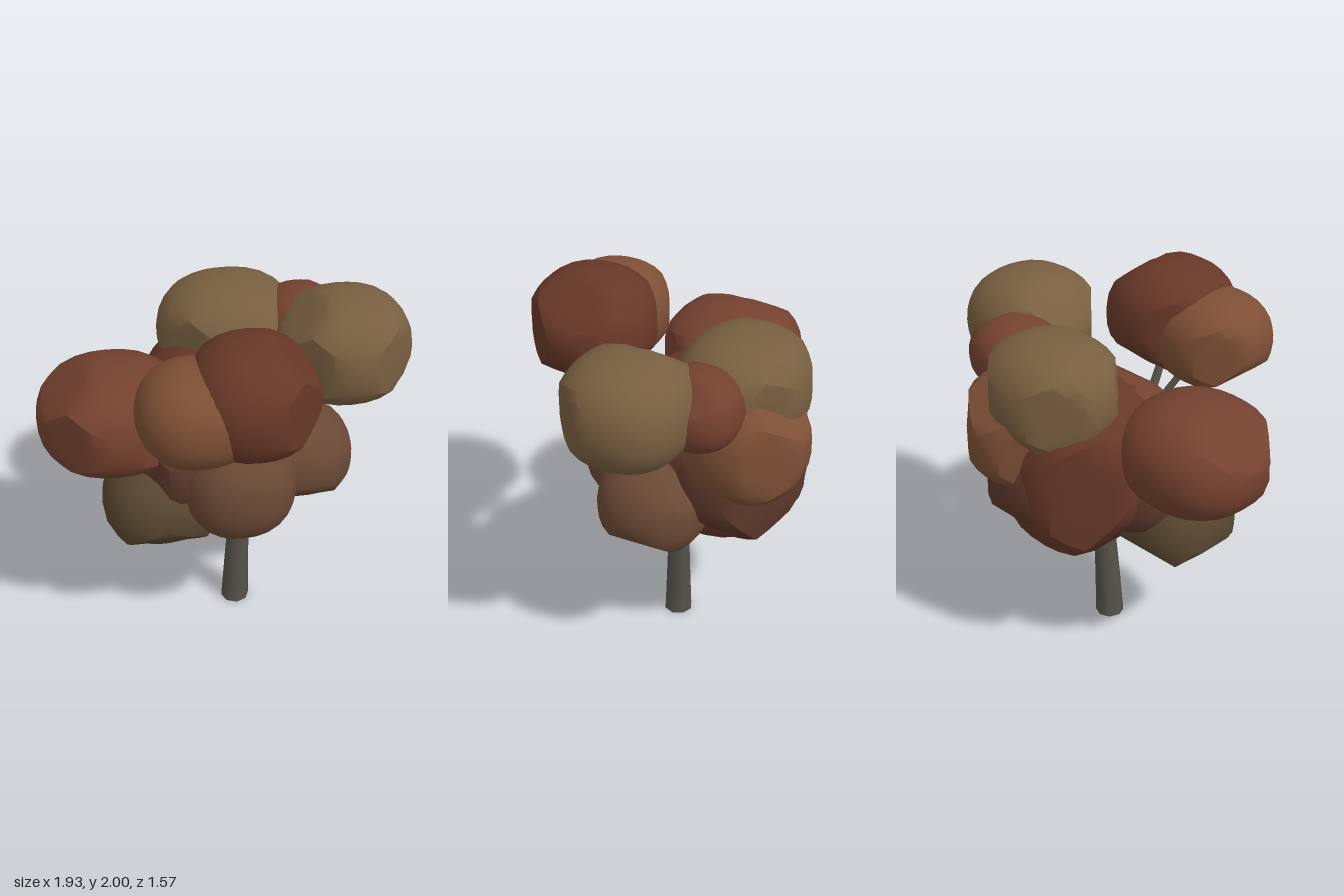
import * as THREE from 'three';
import { mergeVertices, toCreasedNormals } from 'three/addons/utils/BufferGeometryUtils.js';

const RED = 0x74412f, DEEP = 0x673828, RUST = 0x7d4f35, BROWN = 0x6a4935, DARK = 0x5c382b, OLIVE = 0x785f40, MOSS = 0x584731, BARK = 0x55524a;

// Edge directions along which a clump can be planed off
const SIDE = {
  left: new THREE.Vector3(1, 0, 0), right: new THREE.Vector3(-1, 0, 0),
  top: new THREE.Vector3(0, 1, 0), bottom: new THREE.Vector3(0, -1, 0),
  front: new THREE.Vector3(0, 0, 1), back: new THREE.Vector3(0, 0, -1),
};
const edge = (a, b) => SIDE[a].clone().add(SIDE[b]).normalize();

// Leaf clump: a slightly boxy ball with some edges planed off, fitted to centre c and half sizes r
function clump(name, color, c, r, edges, depth = 0.89) {
  const cuts = edges.map(e => edge(...e.split(' ')));
  let geo = new THREE.IcosahedronGeometry(1, 5);
  geo.deleteAttribute('normal');
  geo.deleteAttribute('uv');
  geo = mergeVertices(geo, 1e-4);
  const p = geo.attributes.position, v = new THREE.Vector3(), power = 2.3;
  for (let i = 0; i < p.count; i++) {
    v.fromBufferAttribute(p, i).normalize();
    let k = (Math.abs(v.x) ** power + Math.abs(v.y) ** power + Math.abs(v.z) ** power) ** (-1 / power);
    for (const n of cuts) k = Math.min(k, depth / Math.max(v.dot(n), 0.1));
    v.multiplyScalar(k);
    p.setXYZ(i, v.x, v.y, v.z);
  }
  geo.center();
  geo.computeBoundingBox();
  const m = geo.boundingBox.max;
  geo.scale(r[0] / m.x, r[1] / m.y, r[2] / m.z);
  geo.translate(...c);
  const mesh = new THREE.Mesh(toCreasedNormals(geo, 0.45), new THREE.MeshStandardMaterial({ color }));
  mesh.name = name;
  return mesh;
}

// Tapered limb: rings along a curve, closed at both ends
function limb(name, points, r0, r1, sides = 8) {
  const curve = new THREE.CatmullRomCurve3(points.map(q => new THREE.Vector3(...q)));
  const rings = 8, pos = [], idx = [];
  const q = new THREE.Quaternion();
  for (let i = 0; i <= rings; i++) {
    const t = i / rings, c = curve.getPoint(t), r = r0 + (r1 - r0) * t;
    if (i > 0) q.setFromUnitVectors(SIDE.top, curve.getTangent(t));
    for (let j = 0; j < sides; j++) {
      const a = (j / sides) * Math.PI * 2;
      const v = new THREE.Vector3(r * Math.cos(a), 0, r * Math.sin(a)).applyQuaternion(q).add(c);
      pos.push(v.x, v.y, v.z);
      if (i < rings) {
        const k = (j + 1) % sides, a0 = i * sides + j, b0 = i * sides + k;
        idx.push(a0, a0 + sides, b0, b0, a0 + sides, b0 + sides);
      }
    }
  }
  const top = rings * sides;
  for (let j = 1; j < sides - 1; j++) idx.push(0, j, j + 1, top, top + j + 1, top + j);
  const geo = new THREE.BufferGeometry();
  geo.setAttribute('position', new THREE.Float32BufferAttribute(pos, 3));
  geo.setIndex(idx);
  const mesh = new THREE.Mesh(toCreasedNormals(geo, 0.9), new THREE.MeshStandardMaterial({ color: BARK }));
  mesh.name = name;
  return mesh;
}

export function createModel() {
  const tree = new THREE.Group();
  tree.name = 'tree';

  // Trunk and branches
  const wood = new THREE.Group();
  wood.name = 'wood';
  const fork = [0.08, 0.85, -0.03];
  wood.add(
    limb('trunk', [[0.057, 0, -0.017], [0.068, 0.3, -0.024], [0.083, 0.65, -0.035], [0.07, 1, -0.05]], 0.077, 0.045),
    limb('frontLeftBranch', [fork, [0.05, 1.1, 0.16], [0.03, 1.3, 0.27], [0.04, 1.6, 0.42]], 0.04, 0.02, 6),
    limb('frontRightBranch', [fork, [0.02, 1.15, 0.2], [-0.04, 1.3, 0.29], [-0.18, 1.6, 0.45]], 0.03, 0.018, 6),
    limb('leftBranch', [fork, [0.3, 1.03, -0.03], [0.43, 1.22, -0.03], [0.6, 1.6, -0.02]], 0.04, 0.025, 6),
    limb('rightBranch', [fork, [-0.2, 1.1, -0.04], [-0.5, 1.3, -0.04]], 0.04, 0.02, 6),
  );
  tree.add(wood);

  const crown = new THREE.Group();
  crown.name = 'crown';
  // Upper clumps
  crown.add(
    clump('topFrontClump', DEEP, [0.06, 1.7, 0.455], [0.33, 0.3, 0.33],
      ['left top', 'left bottom', 'left front', 'back bottom', 'right back']),
    clump('topFrontRightClump', RUST, [-0.21, 1.65, 0.475], [0.305, 0.25, 0.29],
      ['right bottom', 'right back', 'left bottom']),
    clump('upperLeftClump', OLIVE, [0.615, 1.635, -0.02], [0.345, 0.285, 0.335],
      ['right top', 'right front', 'left front', 'right back']),
    clump('upperRightClump', RED, [-0.58, 1.325, -0.035], [0.39, 0.285, 0.37],
      ['right top', 'right front', 'left front']),
    clump('leftShoulderClump', RED, [0.445, 1.61, -0.305], [0.225, 0.2, 0.23], ['left top']),
  );
  // Lower clumps
  crown.add(
    clump('lowerRightClump', MOSS, [-0.35, 0.81, 0.05], [0.315, 0.295, 0.3],
      ['right bottom', 'left bottom', 'front bottom', 'back bottom'], 0.8),
    clump('lowerFrontClump', BROWN, [0.035, 1, 0.195], [0.3, 0.3, 0.3],
      ['right bottom', 'right top', 'left top']),
    clump('lowerLeftClump', BROWN, [0.38, 0.965, -0.045], [0.305, 0.265, 0.285],
      ['left bottom', 'front bottom', 'back top']),
    clump('middleRightClump', DARK, [-0.23, 1.05, -0.02], [0.31, 0.29, 0.35],
      ['right front', 'front bottom']),
  );
  // Centre and back clumps
  crown.add(
    clump('centreClump', DEEP, [-0.01, 1.12, -0.23], [0.43, 0.49, 0.46],
      ['right back', 'left back', 'right bottom', 'front bottom']),
    clump('upperCentreClump', RED, [0.03, 1.34, -0.14], [0.38, 0.26, 0.36], ['front top']),
    clump('backLowerClump', DARK, [0.13, 1.07, -0.385], [0.36, 0.35, 0.335],
      ['back bottom', 'left back', 'left bottom']),
    clump('backLeftClump', RUST, [0.2, 1.34, -0.46], [0.325, 0.32, 0.325],
      ['back top', 'right back', 'left back']),
    clump('backTopClump', OLIVE, [0.075, 1.56, -0.39], [0.375, 0.29, 0.335],
      ['right back', 'left back', 'right front']),
  );
  tree.add(crown);
  return tree;
}
